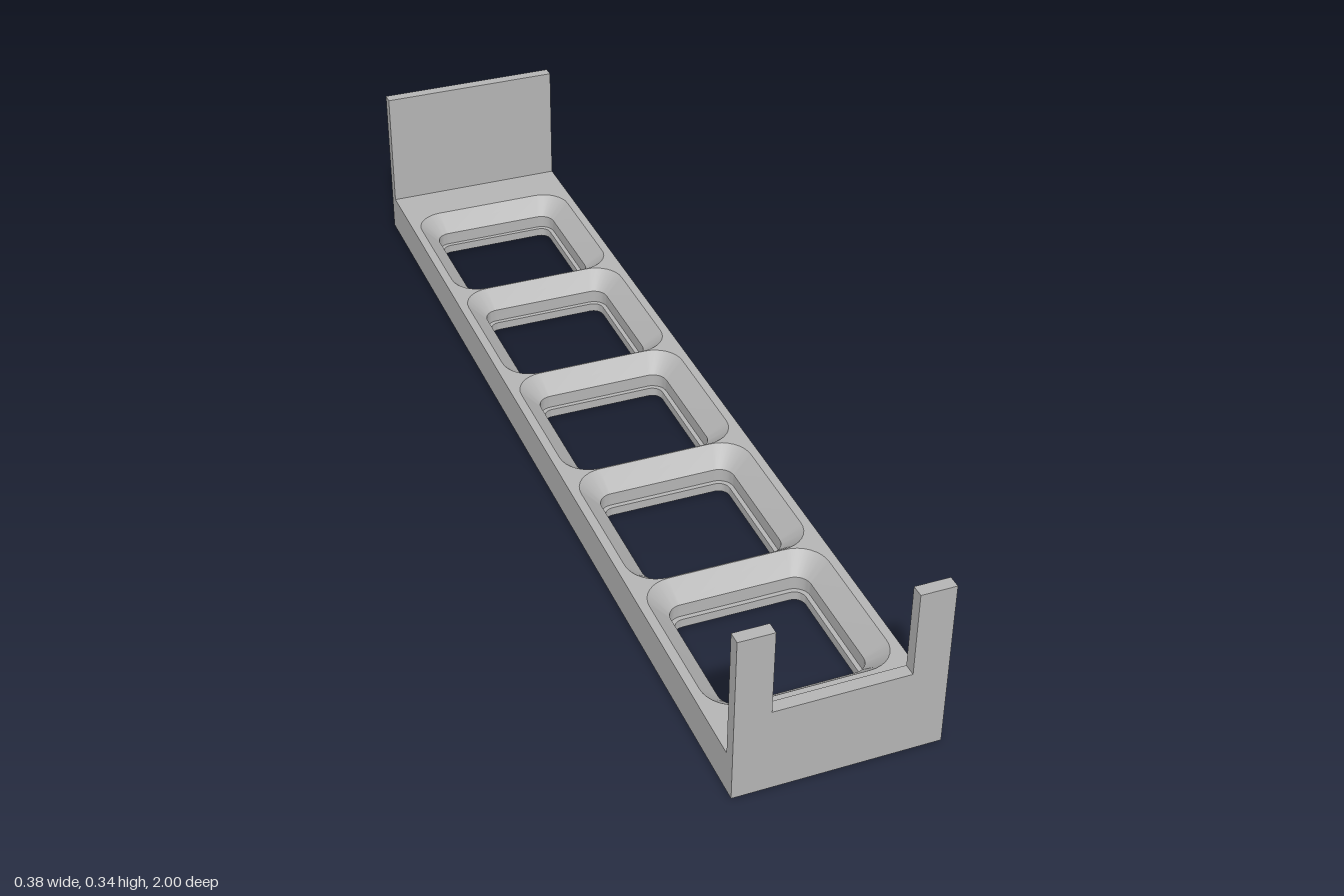
import * as THREE from 'three';
import { toCreasedNormals } from 'three/addons/utils/BufferGeometryUtils.js';

const HALF_W = 0.1925, HALF_L = 1, TRAY_H = 0.08, PANEL_H = 0.335, PANEL_T = 0.024;
const POCKETS = 5, PITCH = 0.352;

// Counter-clockwise outline of a rounded square
function roundedSquare(half, radius, cy = 0) {
  const pts = [];
  const c = half - radius;
  [[1, 1], [-1, 1], [-1, -1], [1, -1]].forEach(([sx, sy], q) => {
    for (let i = 0; i <= 8; i++) {
      const a = (q + i / 8) * Math.PI / 2;
      pts.push(new THREE.Vector2(sx * c + radius * Math.cos(a), cy + sy * c + radius * Math.sin(a)));
    }
  });
  return pts;
}

// Joins matching outlines at different heights; faces inward when listed top to bottom
function loft(rings) {
  const pos = [];
  const put = (ring, i) => {
    const p = ring.pts[i % ring.pts.length];
    pos.push(p.x, ring.y, -p.y);
  };
  for (let r = 0; r < rings.length - 1; r++) {
    const a = rings[r], b = rings[r + 1];
    for (let i = 0; i < a.pts.length; i++) {
      put(a, i); put(a, i + 1); put(b, i + 1);
      put(a, i); put(b, i + 1); put(b, i);
    }
  }
  const g = new THREE.BufferGeometry();
  g.setAttribute('position', new THREE.Float32BufferAttribute(pos, 3));
  return toCreasedNormals(g, 0.5);
}

export function createModel() {
  const group = new THREE.Group();
  const grey = new THREE.MeshStandardMaterial({ color: 0xb4b4b4 });
  grey.name = 'grey';
  const add = (name, geometry, parent = group) => {
    const mesh = new THREE.Mesh(geometry, grey);
    mesh.name = name;
    parent.add(mesh);
    return mesh;
  };

  const tray = new THREE.Group();
  tray.name = 'tray';
  group.add(tray);

  const centres = Array.from({ length: POCKETS }, (_, i) => (i - (POCKETS - 1) / 2) * PITCH);
  const outline = [[1, 1], [-1, 1], [-1, -1], [1, -1]]
    .map(([x, y]) => new THREE.Vector2(x * HALF_W, y * HALF_L));

  // Top and bottom skins, pierced by the pockets
  const skin = (half, radius) => {
    const shape = new THREE.Shape(outline);
    for (const c of centres) shape.holes.push(new THREE.Path(roundedSquare(half, radius, c).reverse()));
    return new THREE.ShapeGeometry(shape);
  };
  add('trayTop', skin(0.175, 0.06).rotateX(-Math.PI / 2), tray).position.y = TRAY_H;
  add('trayBottom', skin(0.128, 0.022).rotateX(Math.PI / 2), tray);
  add('traySides', loft([{ y: 0, pts: outline }, { y: TRAY_H, pts: outline }]), tray);

  // Pocket lining: sloped funnel, upright wall, narrow ledge and bottom opening
  const pocket = loft([
    [0.175, 0.06, TRAY_H], [0.137, 0.03, 0.045], [0.137, 0.03, 0.018],
    [0.128, 0.022, 0.018], [0.128, 0.022, 0],
  ].map(([half, radius, y]) => ({ y, pts: roundedSquare(half, radius) })));
  centres.forEach((c, i) => { add(`pocket${i + 1}`, pocket, tray).position.z = c; });

  // Solid back panel
  const backPanel = add('backPanel', new THREE.BoxGeometry(2 * HALF_W, PANEL_H - TRAY_H, PANEL_T));
  backPanel.position.set(0, (PANEL_H + TRAY_H) / 2, -HALF_L + PANEL_T / 2);

  // Front panel with a wide notch in its upper edge
  const notchX = 0.126, notchY = 0.168;
  const front = new THREE.Shape([
    [-HALF_W, TRAY_H], [HALF_W, TRAY_H], [HALF_W, PANEL_H], [notchX, PANEL_H],
    [notchX, notchY], [-notchX, notchY], [-notchX, PANEL_H], [-HALF_W, PANEL_H],
  ].map(([x, y]) => new THREE.Vector2(x, y)));
  add('frontPanel', new THREE.ExtrudeGeometry(front, { depth: PANEL_T, bevelEnabled: false }))
    .position.z = HALF_L - PANEL_T;

  return group;
}
